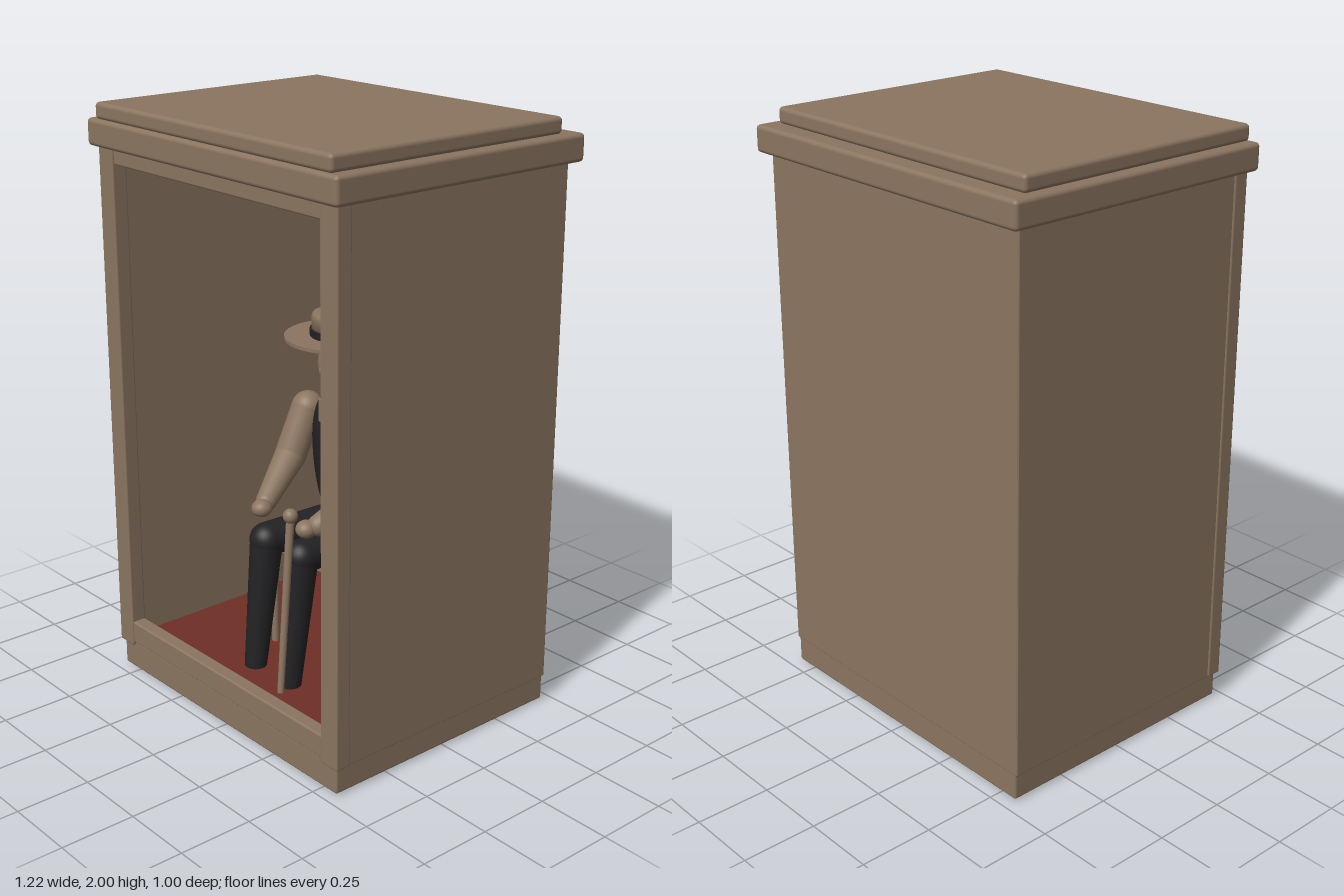
import * as THREE from 'three';
import { RoundedBoxGeometry } from 'three/addons/geometries/RoundedBoxGeometry.js';

const material = (name, color) => {
  const m = new THREE.MeshStandardMaterial({ color });
  m.name = name;
  return m;
};

export function createModel() {
  const brown = material('brown', 0x8b7560);
  const black = material('black', 0x222224);
  const red = material('carpet red', 0x6e2e25);

  const model = new THREE.Group();
  model.name = 'figureInCabinet';

  const group = (name) => {
    const g = new THREE.Group();
    g.name = name;
    model.add(g);
    return g;
  };
  const add = (parent, name, geometry, mat, x = 0, y = 0, z = 0) => {
    const mesh = new THREE.Mesh(geometry, mat);
    mesh.name = name;
    mesh.position.set(x, y, z);
    parent.add(mesh);
    return mesh;
  };
  // Box given by its limits on each axis, with softly rounded edges
  const block = (parent, name, [x0, x1], [y0, y1], [z0, z1], radius = 0.008, mat = brown) => {
    const w = x1 - x0, h = y1 - y0, d = z1 - z0;
    const geometry = radius > 0
      ? new RoundedBoxGeometry(w, h, d, 3, radius)
      : new THREE.BoxGeometry(w, h, d);
    return add(parent, name, geometry, mat, (x0 + x1) / 2, (y0 + y1) / 2, (z0 + z1) / 2);
  };
  const ball = (parent, name, mat, [x, y, z], [rx, ry, rz]) => {
    const mesh = add(parent, name, new THREE.SphereGeometry(1, 28, 20), mat, x, y, z);
    mesh.scale.set(rx, ry, rz);
    return mesh;
  };
  // Tapered rod between two points
  const rod = (parent, name, mat, a, b, ra, rb) => {
    const from = new THREE.Vector3(...a), to = new THREE.Vector3(...b);
    const dir = to.clone().sub(from);
    const mesh = add(parent, name, new THREE.CylinderGeometry(rb, ra, dir.length(), 20), mat);
    mesh.position.copy(from).add(to).multiplyScalar(0.5);
    mesh.quaternion.setFromUnitVectors(new THREE.Vector3(0, 1, 0), dir.normalize());
    return mesh;
  };
  // Jointed limb: rods with a ball at every joint
  const limb = (parent, name, mat, points, radii) => {
    points.forEach((p, i) => {
      ball(parent, name + 'Joint', mat, p, [radii[i], radii[i], radii[i]]);
      if (i > 0) rod(parent, name, mat, points[i - 1], p, radii[i - 1], radii[i]);
    });
  };

  // Cabinet
  const cabinet = group('cabinet');
  block(cabinet, 'base', [-0.572, 0.572], [0.01, 0.115], [-0.46, 0.465]);
  block(cabinet, 'carpet', [-0.546, 0.546], [0.113, 0.119], [-0.435, 0.43], 0, red);
  block(cabinet, 'backWall', [-0.578, 0.578], [0.1, 1.87], [-0.462, -0.432], 0.004);
  block(cabinet, 'ceiling', [-0.55, 0.55], [1.835, 1.87], [-0.45, 0.44], 0);
  block(cabinet, 'topRail', [-0.53, 0.53], [1.805, 1.87], [0.42, 0.468], 0.006);
  block(cabinet, 'bottomRail', [-0.53, 0.53], [0.112, 0.19], [0.42, 0.47], 0.006);
  for (const s of [-1, 1]) {
    const span = (a, b) => (s > 0 ? [a, b] : [-b, -a]);
    block(cabinet, 'sideWall', span(0.546, 0.58), [0.1, 1.87], [-0.46, 0.45], 0.004);
    block(cabinet, 'frontPost', span(0.508, 0.585), [0.1, 1.87], [0.42, 0.475], 0.006);
  }
  block(cabinet, 'cornice', [-0.61, 0.61], [1.858, 1.947], [-0.5, 0.5], 0.014);
  block(cabinet, 'roofCap', [-0.575, 0.575], [1.945, 2.0], [-0.435, 0.49], 0.014);

  // Chair
  const chair = group('chair');
  block(chair, 'seat', [-0.22, 0.22], [0.49, 0.545], [-0.27, 0.13]);
  block(chair, 'chairBack', [-0.2, 0.2], [0.54, 1.12], [-0.265, -0.23], 0.005);
  for (const x of [-0.187, 0.187])
    for (const z of [-0.235, 0.09])
      rod(chair, 'chairLeg', brown, [x, 0.11, z], [x, 0.5, z], 0.013, 0.013);

  // Seated figure
  const figure = group('figure');
  const profile = [
    [0, 0.58], [0.05, 0.59], [0.085, 0.62], [0.115, 0.71], [0.132, 0.82], [0.134, 0.92],
    [0.118, 1.0], [0.085, 1.045], [0.045, 1.065], [0, 1.07],
  ].map(([x, y]) => new THREE.Vector2(x, y));
  const waist = new THREE.LatheGeometry(new THREE.SplineCurve(profile).getPoints(40)
    .map((p) => new THREE.Vector2(Math.max(p.x, 0), p.y)), 36);
  add(figure, 'torso', waist, black, 0, 0, -0.08).scale.z = 0.8;
  rod(figure, 'neck', brown, [0, 1.03, -0.07], [0, 1.12, -0.055], 0.045, 0.042);
  block(figure, 'necktie', [-0.026, 0.026], [0.965, 1.05], [-0.01, 0.03], 0.006);
  ball(figure, 'head', brown, [0, 1.16, -0.05], [0.076, 0.092, 0.08]);
  ball(figure, 'nose', brown, [0, 1.15, 0.03], [0.013, 0.018, 0.014]);

  for (const s of [-1, 1]) {
    ball(figure, 'sideHair', brown, [s * 0.076, 1.145, -0.065], [0.024, 0.062, 0.04]);
    limb(figure, 'arm', brown,
      [[s * 0.198, 0.95, -0.07], [s * 0.206, 0.79, 0.0], [s * 0.135, 0.685, 0.165]],
      [0.056, 0.055, 0.036]);
    ball(figure, 'hand', brown, [s * 0.115, 0.675, 0.2], [0.035, 0.03, 0.036]);
    limb(figure, 'leg', black,
      [[s * 0.075, 0.57, -0.07], [s * 0.092, 0.57, 0.2]], [0.062, 0.058]);
    rod(figure, 'shin', black, [s * 0.092, 0.57, 0.2], [s * 0.092, 0.115, 0.255], 0.056, 0.038);
  }

  // Flat straw hat
  const hat = group('hat');
  add(hat, 'brim', new THREE.CylinderGeometry(0.184, 0.184, 0.012, 40), brown, 0, 1.252, -0.045);
  add(hat, 'band', new THREE.CylinderGeometry(0.1, 0.1, 0.026, 36), black, 0, 1.27, -0.045);
  const crown = [[0, 1.255], [0.094, 1.255], [0.095, 1.322], [0.09, 1.333], [0.08, 1.337], [0, 1.337]]
    .map(([x, y]) => new THREE.Vector2(x, y));
  add(hat, 'crown', new THREE.LatheGeometry(crown, 36), brown, 0, 0, -0.045);

  // Walking cane
  const cane = group('cane');
  rod(cane, 'shaft', brown, [0.118, 0.003, 0.325], [0.09, 0.72, 0.245], 0.011, 0.014);
  ball(cane, 'knob', brown, [0.09, 0.725, 0.245], [0.025, 0.025, 0.025]);

  return model;
}
